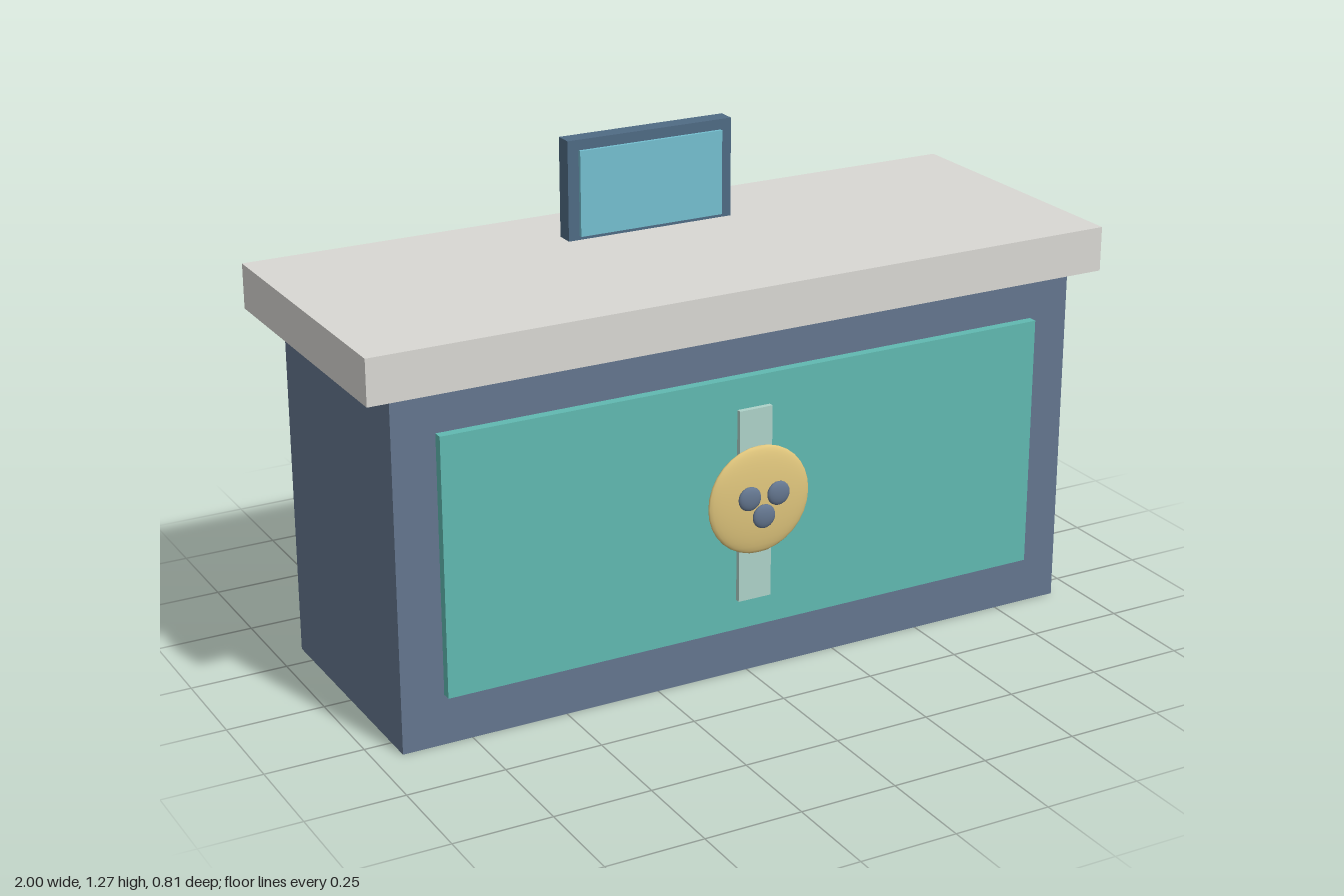
import * as THREE from 'three';

const mat = (color) => new THREE.MeshStandardMaterial({ color });

export function createModel() {
  const model = new THREE.Group();
  const navy = mat(0x64768f), stone = mat(0xd9d8d3), teal = mat(0x60b9b1);
  const mint = mat(0xaed2c9), gold = mat(0xdfc57c), slate = mat(0x4f6b84), sky = mat(0x74bfd0);

  // Box given by its extents on each axis
  const box = (name, [x0, x1], [y0, y1], [z0, z1], material) => {
    const mesh = new THREE.Mesh(new THREE.BoxGeometry(x1 - x0, y1 - y0, z1 - z0), material);
    mesh.position.set((x0 + x1) / 2, (y0 + y1) / 2, (z0 + z1) / 2);
    mesh.name = name;
    model.add(mesh);
  };

  // Sphere flattened along z
  const button = (name, x, y, z, radius, depth, material, segments) => {
    const mesh = new THREE.Mesh(new THREE.SphereGeometry(1, segments, segments / 2), material);
    mesh.scale.set(radius, radius, depth);
    mesh.position.set(x, y, z);
    mesh.name = name;
    model.add(mesh);
  };

  // Counter
  box('counterBody', [-0.93, 0.93], [0, 0.9], [-0.325, 0.318], navy);
  box('counterTop', [-1, 1], [0.9, 1.015], [-0.405, 0.36], stone);

  // Front decoration
  box('frontPanel', [-0.82, 0.82], [0.13, 0.79], [0.31, 0.342], teal);
  box('centreStrip', [-0.045, 0.045], [0.21, 0.71], [0.335, 0.355], mint);
  button('medallion', 0, 0.48, 0.37, 0.14, 0.021, gold, 32);
  for (const [x, y] of [[-0.04, 0.498], [0.04, 0.498], [0, 0.445]]) {
    button('medallionDot', x, y, 0.396, 0.031, 0.011, navy, 20);
  }

  // Display standing on the counter
  box('displayFrame', [-0.23, 0.23], [1.015, 1.272], [-0.225, -0.178], slate);
  box('displayScreen', [-0.2, 0.2], [1.025, 1.245], [-0.185, -0.169], sky);

  return model;
}
